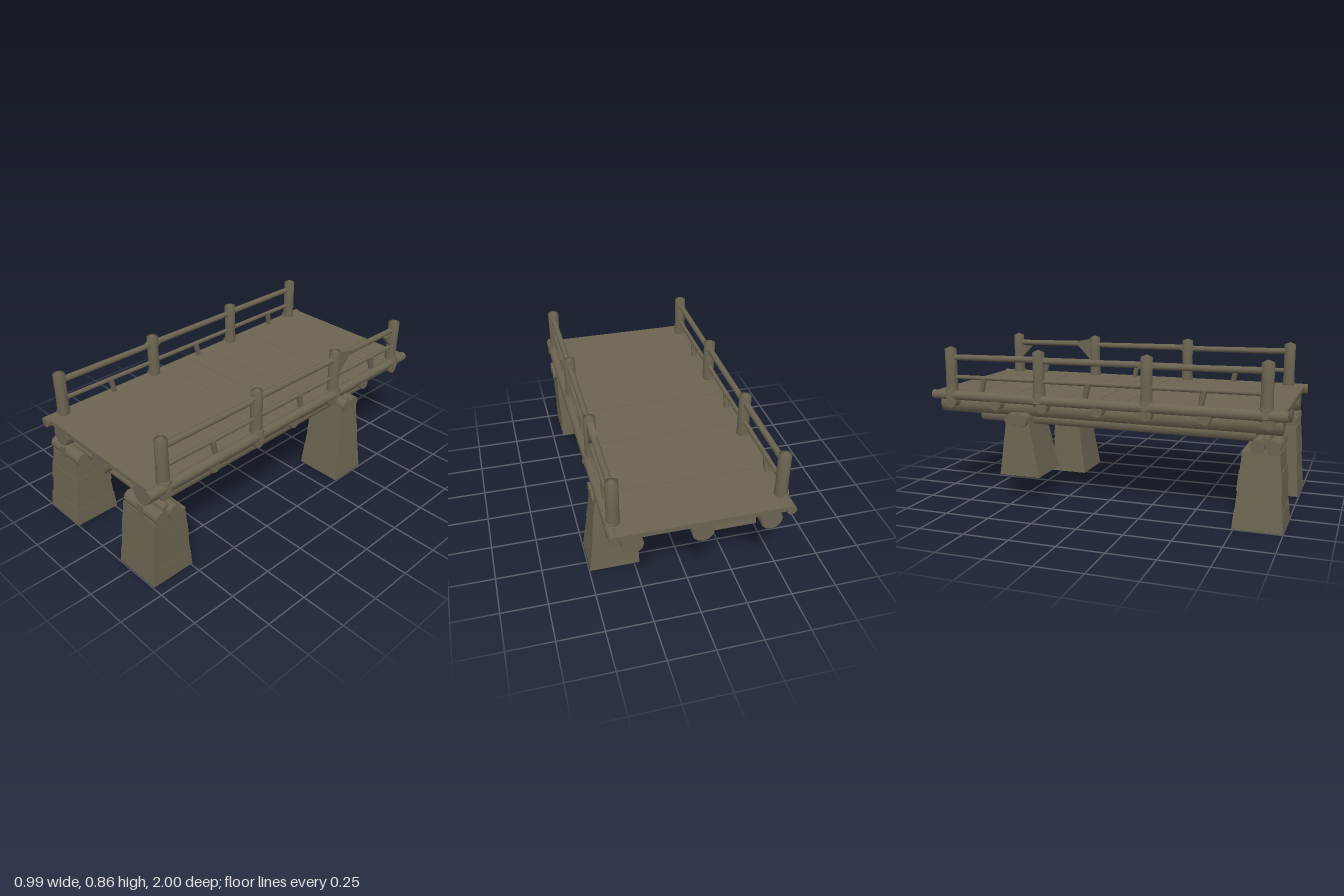
import * as THREE from 'three';

export function createModel() {
  const model = new THREE.Group();
  const wood = new THREE.MeshStandardMaterial({ color: 0x6b6451 });
  wood.name = 'weathered brown';
  const V = (x, y, z) => new THREE.Vector3(x, y, z);

  let seed = 7;
  const rand = () => ((seed = (seed * 16807) % 2147483647) / 2147483647) - 0.5;

  function add(name, geometry) {
    const mesh = new THREE.Mesh(geometry, wood);
    mesh.name = name;
    model.add(mesh);
    return mesh;
  }

  // Round timber running from a to b
  function log(name, a, b, r0, r1 = r0, sides = 10) {
    const mesh = add(name, new THREE.CylinderGeometry(r1, r0, a.distanceTo(b), sides));
    mesh.position.copy(a).lerp(b, 0.5);
    mesh.quaternion.setFromUnitVectors(V(0, 1, 0), b.clone().sub(a).normalize());
    return mesh;
  }

  // Triangular brace lying in the z-y plane
  function gusset(name, x, points, depth = 0.03) {
    const shape = new THREE.Shape(points.map(p => new THREE.Vector2(p[0], p[1])));
    const g = new THREE.ExtrudeGeometry(shape, { depth, bevelEnabled: false });
    g.rotateY(-Math.PI / 2);
    add(name, g).position.x = x + depth / 2;
  }

  // Tapered stone pier in courses; base and top are [x0, x1, z0, z1]
  function pier(name, base, top, y0, y1) {
    const courses = 4;
    for (let i = 0; i < courses; i++) {
      const g = new THREE.BoxGeometry(1, 1, 1);
      const p = g.attributes.position;
      const swell = i === 0 ? 0 : rand() * 0.005;
      for (let k = 0; k < p.count; k++) {
        const t = (i + p.getY(k) + 0.5) / courses;
        const m = base.map((v, j) => v + (top[j] - v) * t);
        p.setXYZ(k,
          p.getX(k) < 0 ? m[0] - swell : m[1] + swell,
          y0 + (y1 - y0) * t,
          p.getZ(k) < 0 ? m[2] - swell : m[3] + swell);
      }
      g.computeVertexNormals();
      add(name + 'Course', g);
    }
  }

  pier('frontRightPier', [-0.495, -0.225, 0.74, 1.0], [-0.45, -0.23, 0.775, 0.965], 0, 0.4);
  pier('frontLeftPier', [0.155, 0.435, 0.74, 0.995], [0.19, 0.44, 0.775, 0.965], 0, 0.4);
  pier('backLeftPier', [0.22, 0.495, -0.57, -0.345], [0.24, 0.445, -0.54, -0.41], 0, 0.46);
  pier('backRightPier', [-0.445, -0.17, -0.585, -0.345], [-0.43, -0.205, -0.545, -0.41], 0.15, 0.46);

  // Paired cap logs on each pier, and tie bars joining the piers
  for (const s of [-1, 1]) {
    for (const z of [0.85, 0.93]) {
      log('frontCapLog', V(s * 0.2, 0.425, z), V(s * 0.457, 0.425, z), 0.038);
    }
    for (const z of [-0.445, -0.505]) {
      log('backCapLog', V(s * 0.19, 0.468, z), V(s * 0.46, 0.468, z), 0.037);
    }
    const strap = add('capStrap', new THREE.BoxGeometry(0.034, 0.08, 0.012));
    strap.position.set(s * 0.335, 0.428, 0.968);
  }
  log('frontTieBar', V(-0.43, 0.445, 0.88), V(0.43, 0.445, 0.88), 0.024);
  log('backTieBar', V(-0.44, 0.483, -0.475), V(0.44, 0.478, -0.475), 0.022);

  // Main stringers, and lower support logs under the outer ones
  for (const x of [-0.347, 0, 0.347]) {
    log('stringer', V(x, 0.525, 0.965), V(x, 0.528, -0.975), 0.059, 0.056, 12);
    if (x) log('lowerStringer', V(x, 0.465, 0.83), V(x, 0.47, -0.73), 0.036, 0.034);
  }

  // Cross beams under the deck
  for (const z of [0.9, 0.58, 0.27, 0, -0.32, -0.6, -0.88]) {
    log('crossBeam', V(-0.455, 0.548, z), V(0.455, 0.548, z), 0.034, 0.031, 8);
  }

  // Deck planks, slightly uneven
  const planks = 24, z0 = -0.99, w = 1.97 / planks;
  for (let i = 0; i < planks; i++) {
    const plank = add('deckPlank', new THREE.BoxGeometry(0.87 + rand() * 0.006, 0.026, w));
    plank.position.set(0, 0.593 + rand() * 0.004, z0 + w * (i + 0.5));
    plank.rotation.x = rand() * 0.02;
  }

  const postZ = [0.885, 0.265, -0.345, -0.885];
  const profile = [[0, 0.55], [0.035, 0.55], [0.034, 0.62], [0.032, 0.7], [0.033, 0.845], [0, 0.858]]
    .map(p => new THREE.Vector2(p[0], p[1]));

  for (const s of [-1, 1]) {
    const x = s * 0.42;
    // Edge log along the deck
    log('edgeLog', V(s * 0.437, 0.583, 0.995), V(s * 0.437, 0.585, -0.995), 0.029, 0.026);

    // Posts with pointed caps and collars where they meet the edge log
    for (const z of postZ) {
      const post = new THREE.LatheGeometry(profile, 10);
      add('railPost', post).position.set(x, 0, z);
      const collar = add('postCollar', new THREE.CylinderGeometry(0.035, 0.043, 0.05, 8));
      collar.position.set(s * 0.428, 0.595, z);
    }

    // Rails, bay by bay
    for (let i = 0; i < 3; i++) {
      const a = postZ[i], b = postZ[i + 1];
      log('topRail', V(x, 0.803, a), V(x, 0.797, b), 0.018, 0.016, 8);
      log('lowerRail', V(x, 0.69, a), V(x, 0.686, b), 0.013, 0.012, 8);
    }

    // Short slanted struts under the lower rail
    for (const z of [0.55, -0.08, -0.7]) {
      log('railStrut', V(x, 0.595, z), V(x, 0.688, z + 0.02), 0.015, 0.018, 6);
    }

    // Flared shoulders on the second post
    for (const d of [-1, 1]) {
      gusset('postShoulder', x, [[0.265, 0.76], [0.265 + d * 0.055, 0.8], [0.265, 0.84]], 0.03);
    }
  }

  // Broken braces on the left railing
  gusset('largeBrace', 0.42, [[-0.35, 0.84], [-0.47, 0.815], [-0.45, 0.785], [-0.37, 0.7]], 0.035);
  gusset('smallBrace', 0.42, [[-0.79, 0.775], [-0.87, 0.775], [-0.87, 0.69]], 0.025);

  return model;
}
